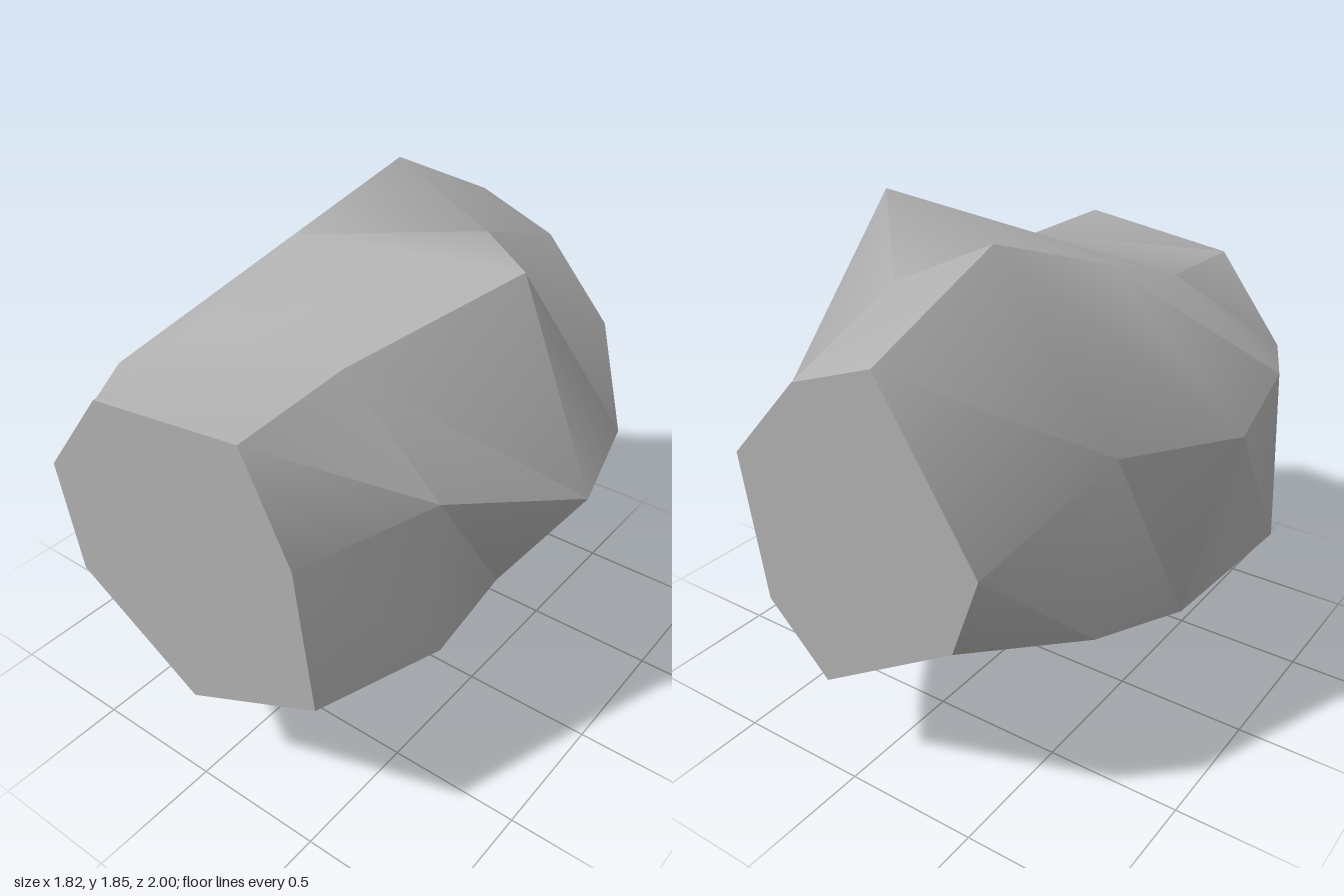
import * as THREE from 'three';
import { toCreasedNormals } from 'three/addons/utils/BufferGeometryUtils.js';

// Seven-sided cross-sections from front to back; points [x, y] run clockwise from the upper left.
const sections = [
  { z: 1.0, points: [[-0.33, 1.465], [0.29, 1.545], [0.475, 1.18], [0.545, 0.66], [-0.01, 0.385], [-0.52, 0.70], [-0.60, 1.115]] },
  { z: 0.5, points: [[-0.37, 1.505], [0.27, 1.56], [0.65, 1.21], [0.67, 0.615], [-0.07, 0.335], [-0.85, 0.545], [-0.815, 1.21]] },
  { z: 0.0, points: [[-0.36, 1.675], [0.60, 1.795], [0.905, 1.06], [0.58, 0.545], [0, 0], [-0.73, 0.42], [-0.91, 1.18]] },
  { z: -0.5, points: [[-0.26, 1.845], [0.145, 1.65], [0.76, 1.02], [0.47, 0.40], [0.02, 0.325], [-0.66, 0.56], [-0.72, 1.25]] },
  { z: -1.0, points: [[-0.19, 1.59], [0.135, 1.47], [0.42, 1.155], [0.335, 0.62], [0.09, 0.38], [-0.455, 0.715], [-0.56, 1.015]] },
];

// Skins the sections and closes both ends.
function skin(rings) {
  const n = rings[0].points.length;
  const positions = rings.flatMap(({ z, points }) => points.flatMap(([x, y]) => [x, y, z]));
  const index = [];
  for (let r = 0; r < rings.length - 1; r++) {
    for (let i = 0; i < n; i++) {
      const j = (i + 1) % n;
      const a = r * n + i, b = r * n + j, c = b + n, d = a + n;
      index.push(a, b, c, a, c, d);
    }
  }
  const last = (rings.length - 1) * n;
  for (let i = 1; i < n - 1; i++) {
    index.push(0, i + 1, i);
    index.push(last, last + i, last + i + 1);
  }
  const geometry = new THREE.BufferGeometry();
  geometry.setAttribute('position', new THREE.Float32BufferAttribute(positions, 3));
  geometry.setIndex(index);
  return toCreasedNormals(geometry, 0.8);
}

export function createModel() {
  const stone = new THREE.MeshStandardMaterial({ color: 0xb0b0b0 });
  stone.name = 'stone grey';

  const boulder = new THREE.Mesh(skin(sections), stone);
  boulder.name = 'boulder';

  const model = new THREE.Group();
  model.name = 'rock';
  model.add(boulder);
  return model;
}
